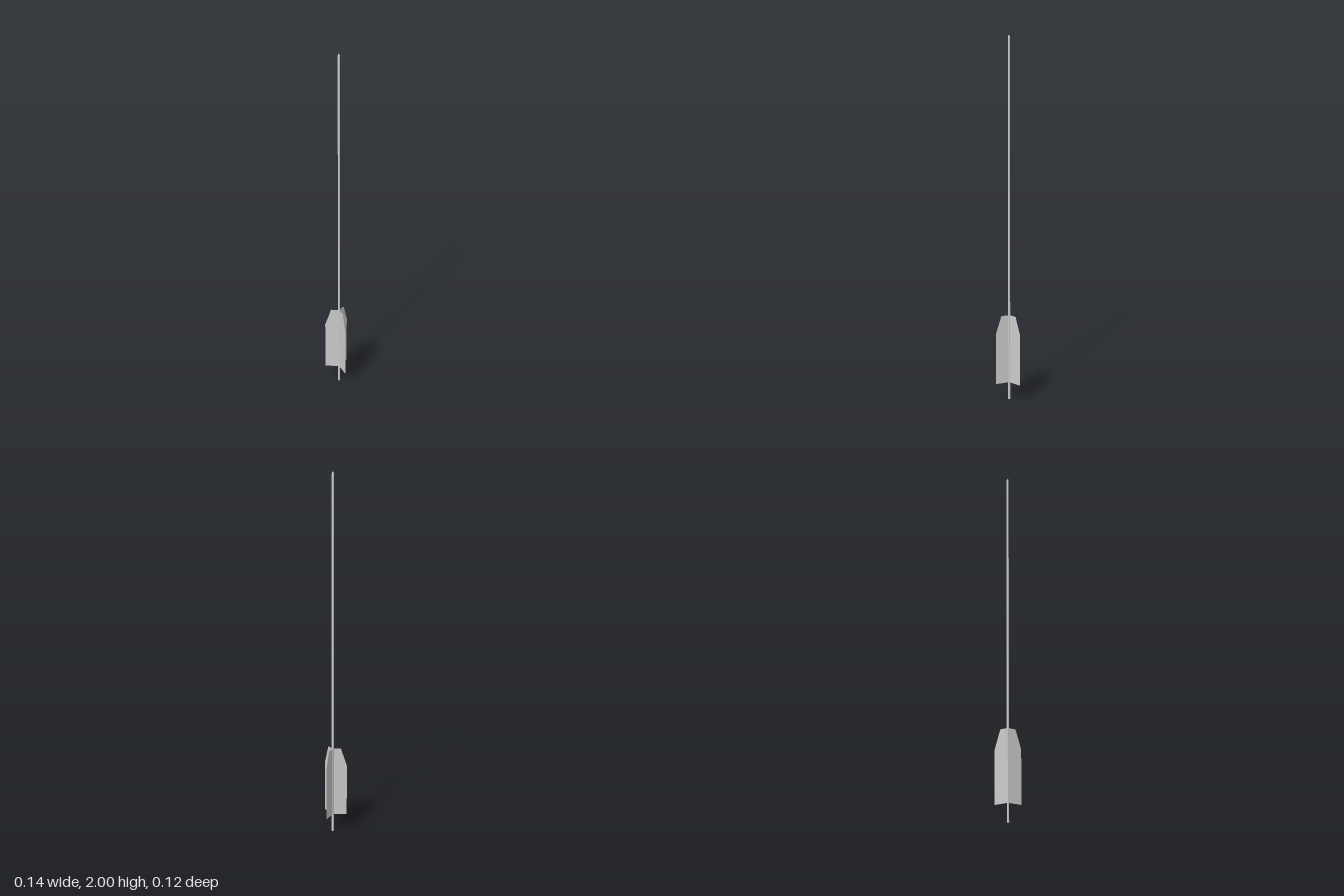
import * as THREE from 'three';

export function createModel() {
  const group = new THREE.Group();
  const axisZ = 0.02;
  const r = 0.006;
  const grey = new THREE.MeshStandardMaterial({ color: 0xcccccc });
  const thin = new THREE.MeshStandardMaterial({ color: 0xcccccc, side: THREE.DoubleSide });

  // Slender shaft with a short rounded tip
  const profile = [[0, 0], [r, 0], [r, 0], [r, 1.985], [r, 1.985], [r * 0.75, 1.994], [0, 2]]
    .map(([x, y]) => new THREE.Vector2(x, y));
  const shaft = new THREE.Mesh(new THREE.LatheGeometry(profile, 12), grey);
  shaft.name = 'shaft';
  shaft.position.z = axisZ;
  group.add(shaft);

  // Three thin vanes with a tapered leading end, evenly spaced round the shaft
  const outline = [[0, 0.1], [0.078, 0.1], [0.078, 0.39], [0.045, 0.493], [0, 0.493]]
    .map(([x, y]) => new THREE.Vector2(x, y));
  const vaneGeometry = new THREE.ShapeGeometry(new THREE.Shape(outline));
  ['backVane', 'rightVane', 'leftVane'].forEach((name, i) => {
    const vane = new THREE.Mesh(vaneGeometry, thin);
    vane.name = name;
    vane.position.z = axisZ;
    vane.rotation.y = Math.PI / 2 + (i * Math.PI * 2) / 3;
    group.add(vane);
  });

  return group;
}
